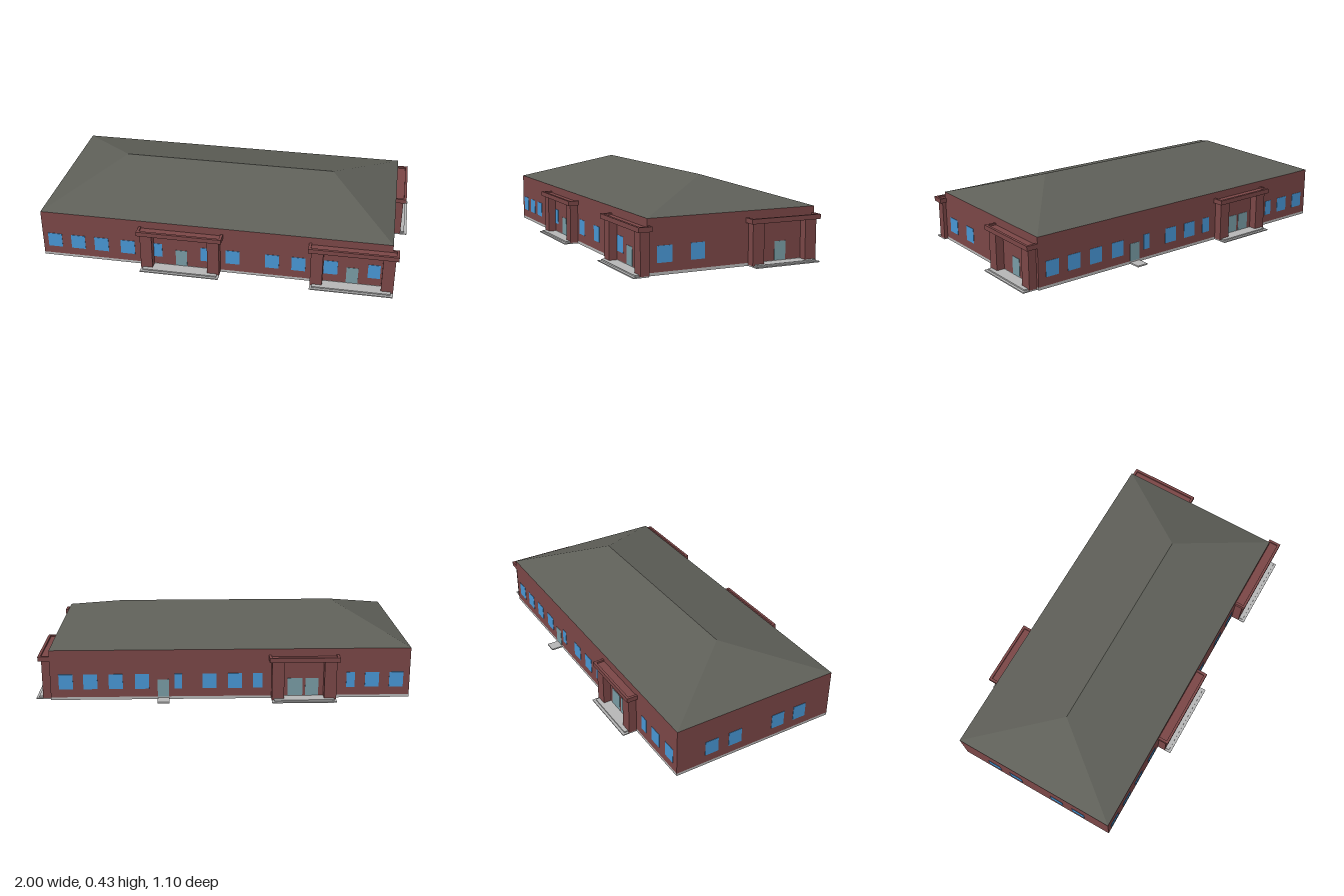
import * as THREE from 'three';

const mat = (name, color) => Object.assign(new THREE.MeshStandardMaterial({ color }), { name });

export function createModel() {
  const brick = mat('brick', 0x7a4646);
  const slate = mat('roof slate', 0x5e5f58);
  const glass = mat('window blue', 0x4896d4);
  const doorPaint = mat('door teal', 0x789ba4);
  const concrete = mat('concrete', 0xb6b6b6);

  const model = new THREE.Group();
  model.name = 'building';
  const X0 = -1, X1 = 0.92, Z = 0.47, BASE = 0.015, EAVE = 0.277, RIDGE = 0.425;

  // Box given by its lower and upper corners
  function box(parent, name, material, x0, x1, y0, y1, z0, z1) {
    const mesh = new THREE.Mesh(new THREE.BoxGeometry(x1 - x0, y1 - y0, z1 - z0), material);
    mesh.position.set((x0 + x1) / 2, (y0 + y1) / 2, (z0 + z1) / 2);
    mesh.name = name;
    parent.add(mesh);
    return mesh;
  }

  // Foundation slab with openings cut through it
  const rect = (PathType, x0, x1, z0, z1) => new PathType([
    new THREE.Vector2(x0, -z1), new THREE.Vector2(x1, -z1),
    new THREE.Vector2(x1, -z0), new THREE.Vector2(x0, -z0),
  ]);
  const slab = rect(THREE.Shape, X0, X1, -Z, Z);
  [[0.76, 0.9, 0.26, 0.34], [0.19, 0.48, 0.24, 0.38], [-0.12, 0, 0, 0.34], [-0.92, -0.335, 0.14, 0.355]]
    .forEach((r) => slab.holes.push(rect(THREE.Path, ...r)));
  const slabGeo = new THREE.ExtrudeGeometry(slab, { depth: BASE, bevelEnabled: false });
  slabGeo.rotateX(-Math.PI / 2);
  const foundation = new THREE.Mesh(slabGeo, concrete);
  foundation.name = 'foundation';
  model.add(foundation);

  // Walls, with a dark underside behind the foundation openings
  box(model, 'walls', [brick, brick, brick, slate, brick, brick], X0, X1, BASE, EAVE, -Z, Z);

  // Hipped roof: four eave corners and two ridge ends
  const roofGeo = new THREE.BufferGeometry();
  roofGeo.setAttribute('position', new THREE.Float32BufferAttribute([
    X0, EAVE, Z, X1, EAVE, Z, X1, EAVE, -Z, X0, EAVE, -Z,
    -0.625, RIDGE, 0, 0.56, RIDGE, 0,
  ], 3));
  roofGeo.setIndex([0, 1, 5, 0, 5, 4, 2, 3, 4, 2, 4, 5, 1, 2, 5, 3, 0, 4, 0, 3, 2, 0, 2, 1]);
  const roofFlat = roofGeo.toNonIndexed();
  roofFlat.computeVertexNormals();
  const roof = new THREE.Mesh(roofFlat, slate);
  roof.name = 'hippedRoof';
  model.add(roof);

  // Each side has its own frame: x along the wall, z outward from it.
  // sign turns a world coordinate into the one along the wall.
  function side(name, angle, x, z, sign) {
    const group = new THREE.Group();
    group.name = name;
    group.rotation.y = angle;
    group.position.set(x, 0, z);
    model.add(group);
    const span = (a, b) => [Math.min(a * sign, b * sign), Math.max(a * sign, b * sign)];
    return {
      windows(list) {
        list.forEach(([a, b]) => box(group, 'window', glass, ...span(a, b), 0.06, 0.143, -0.002, 0.002));
      },
      doors(list) {
        list.forEach(([a, b]) => box(group, 'door', doorPaint, ...span(a, b), BASE, 0.112, -0.002, 0.002));
      },
      step(a, b, depth) {
        box(group, 'doorstep', concrete, ...span(a, b), 0, 0.008, 0, depth);
      },
      // Two pillars on a stepped landing, topped by a rimmed canopy
      porch(a, b) {
        const [u0, u1] = span(a, b);
        const porch = new THREE.Group();
        porch.name = 'porch';
        group.add(porch);
        box(porch, 'lowerStep', concrete, u0, u1, 0, 0.006, 0, 0.08);
        box(porch, 'upperStep', concrete, u0 + 0.012, u1 - 0.012, 0.006, 0.013, 0, 0.066);
        for (const p of [u0, u1 - 0.065]) {
          box(porch, 'pillar', brick, p, p + 0.065, 0.006, 0.22, -0.003, 0.044);
        }
        const c0 = u0 - 0.015, c1 = u1 + 0.015, rim = 0.014;
        box(porch, 'canopy', brick, c0 + rim, c1 - rim, 0.218, 0.234, 0, 0.046);
        box(porch, 'canopyFrontRim', brick, c0, c1, 0.218, 0.243, 0.046, 0.06);
        box(porch, 'canopyBackRim', brick, c0, c1, 0.218, 0.243, -0.011, 0);
        box(porch, 'canopyEndRim', brick, c0, c0 + rim, 0.218, 0.243, 0, 0.046);
        box(porch, 'canopyEndRim', brick, c1 - rim, c1, 0.218, 0.243, 0, 0.046);
      },
    };
  }

  const front = side('frontSide', 0, 0, Z, 1);
  front.windows([[-0.97, -0.89], [-0.837, -0.757], [-0.703, -0.623], [-0.553, -0.473], [-0.39, -0.318],
    [-0.104, -0.03], [0.035, 0.11], [0.25, 0.325], [0.393, 0.468], [0.565, 0.64], [0.8, 0.865]]);
  front.doors([[-0.243, -0.18], [0.687, 0.75]]);
  front.porch(-0.43, 0.005);
  front.porch(0.498, 0.94);

  const back = side('backSide', Math.PI, 0, -Z, -1);
  back.windows([[0.875, 0.8], [0.745, 0.67], [0.61, 0.535], [0.47, 0.395], [0.26, 0.22], [0.11, 0.035],
    [-0.025, -0.1], [-0.16, -0.21], [-0.66, -0.705], [-0.76, -0.835], [-0.89, -0.965]]);
  back.doors([[0.35, 0.29], [-0.345, -0.425], [-0.44, -0.51]]);
  back.step(0.287, 0.35, 0.065);
  back.porch(-0.602, -0.258);

  const left = side('leftSide', Math.PI / 2, X1, 0, -1);
  left.windows([[0.418, 0.338], [0.238, 0.162]]);
  left.doors([[-0.235, -0.3]]);
  left.porch(-0.083, -0.455);

  const right = side('rightSide', -Math.PI / 2, X0, 0, 1);
  right.windows([[-0.305, -0.228], [-0.165, -0.088], [0.1, 0.177], [0.238, 0.315]]);

  return model;
}
